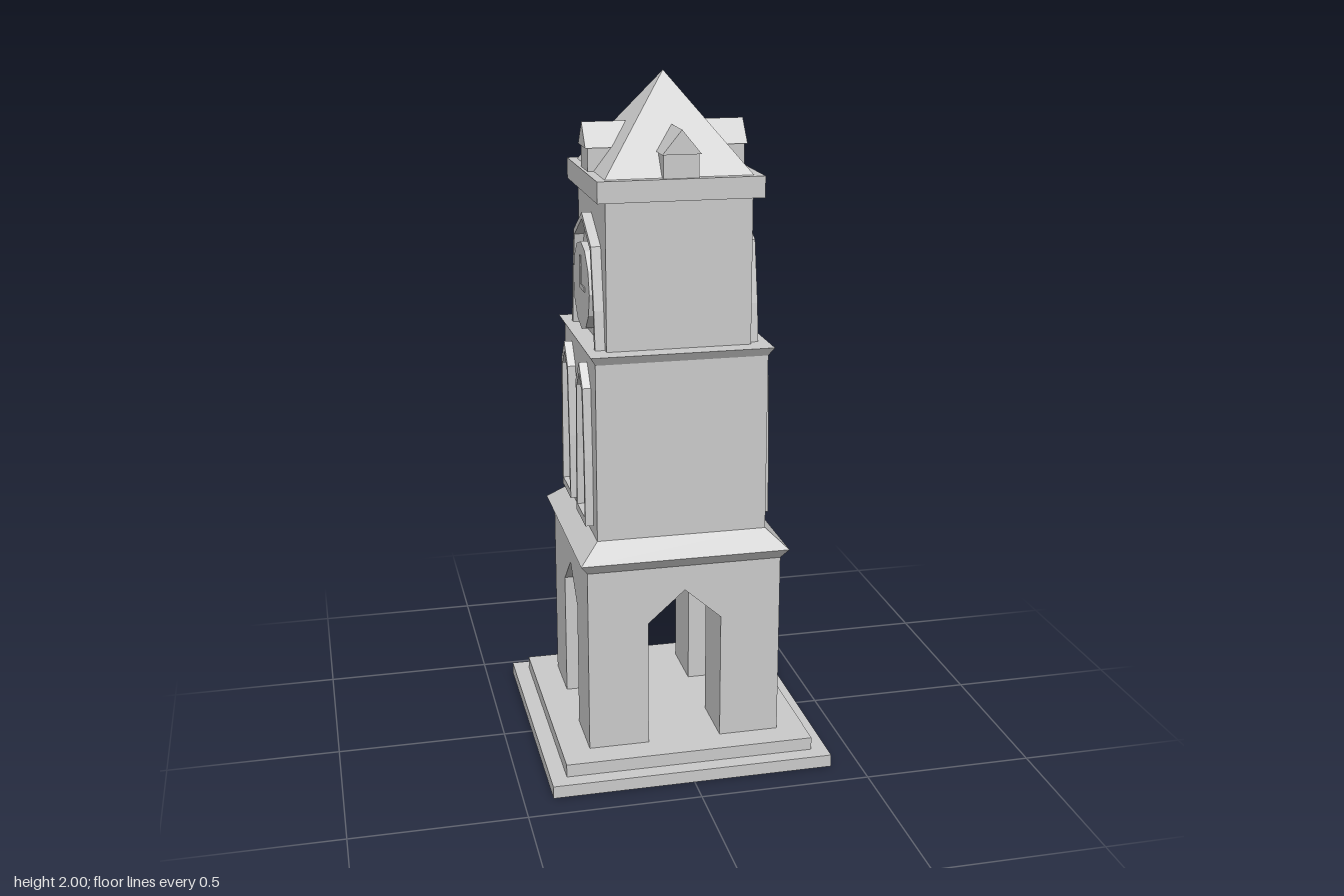
import * as THREE from 'three';

const mat = new THREE.MeshStandardMaterial({ color: 0xcccccc, flatShading: true });

function add(parent, name, geometry) {
  const mesh = new THREE.Mesh(geometry, mat);
  mesh.name = name;
  parent.add(mesh);
  return mesh;
}

// Square block, optionally tapered: half widths r0 (bottom) and r1 (top)
function block(parent, name, r0, r1, y0, y1) {
  const g = new THREE.CylinderGeometry(r1 * Math.SQRT2, r0 * Math.SQRT2, y1 - y0, 4);
  g.rotateY(Math.PI / 4);
  return add(parent, name, g.translate(0, (y0 + y1) / 2, 0));
}

const outline = (pts) => pts.map(([x, y]) => new THREE.Vector2(x, y));

// Flat shape pushed out along z from z0 to z1
function slab(parent, name, pts, z0, z1, hole) {
  const shape = new THREE.Shape(outline(pts));
  if (hole) shape.holes.push(new THREE.Path(outline(hole)));
  const g = new THREE.ExtrudeGeometry(shape, { depth: z1 - z0, bevelEnabled: false });
  return add(parent, name, g.translate(0, 0, z0));
}

function quads(list) {
  const pos = [];
  for (const [a, b, c, d] of list) pos.push(...a, ...b, ...c, ...a, ...c, ...d);
  const g = new THREE.BufferGeometry();
  g.setAttribute('position', new THREE.Float32BufferAttribute(pos, 3));
  g.computeVertexNormals();
  return g;
}

// One side of the arched base: wall, two jambs and its share of the groin vault
function archSide() {
  const side = new THREE.Group();
  const R = 0.285, w = 0.108, y0 = 0.075, spring = 0.455, apex = 0.55, top = 0.625;
  const wall = new THREE.ShapeGeometry(new THREE.Shape(outline([
    [-R, y0], [-w, y0], [-w, spring], [0, apex], [w, spring], [w, y0], [R, y0], [R, top], [-R, top],
  ])));
  add(side, 'archWall', wall.translate(0, 0, R));
  const faces = [];
  for (const s of [1, -1]) {
    const A = [0, apex, R], B = [s * w, spring, R], C = [s * w, spring, w], D = [0, apex, 0];
    const E = [s * w, y0, R], F = [s * w, y0, w];
    const pair = [[A, D, C, B], [E, B, C, F]];
    faces.push(...(s > 0 ? pair : pair.map((q) => q.reverse())));
  }
  add(side, 'passageLining', quads(faces));
  return side;
}

// Small gabled dormer facing +z
function dormer() {
  const g = new THREE.Group();
  slab(g, 'dormerBody', [[-0.05, 1.73], [0.05, 1.73], [0.05, 1.8], [0, 1.85], [-0.05, 1.8]], 0.09, 0.226);
  slab(g, 'dormerRoof', [[-0.055, 1.795], [0.055, 1.795], [0, 1.862]], 0.08, 0.233);
  return g;
}

// Clock and pair of pointed windows, facing +z
function decoratedSide() {
  const g = new THREE.Group();
  slab(g, 'clockSurround', [
    [0.185, 1.248], [0.172, 1.36], [0.137, 1.535], [0, 1.608], [-0.137, 1.535], [-0.172, 1.36], [-0.185, 1.248],
    [-0.168, 1.248], [-0.156, 1.36], [-0.123, 1.523], [0, 1.59], [0.123, 1.523], [0.156, 1.36], [0.168, 1.248],
  ].reverse(), 0.2, 0.236);

  const dial = new THREE.CylinderGeometry(0.128, 0.128, 0.04, 12);
  dial.rotateX(Math.PI / 2);
  add(g, 'clockDial', dial.translate(0, 1.397, 0.22));
  const hands = [[-0.007, 1.39], [0.06, 1.39], [0.06, 1.404], [0.007, 1.404], [0.007, 1.485], [-0.007, 1.485]];
  slab(g, 'clockHands', hands, 0.235, 0.243);

  for (const s of [-1, 1]) {
    const frame = slab(g, 'windowFrame',
      [[-0.072, 0.735], [0.072, 0.735], [0.068, 0.93], [0.053, 1.14], [0, 1.203], [-0.053, 1.14], [-0.068, 0.93]],
      0.24, 0.272,
      [[-0.058, 0.758], [0.058, 0.758], [0.054, 0.93], [0.039, 1.125], [0, 1.172], [-0.039, 1.125], [-0.054, 0.93]]);
    frame.position.x = s * 0.122;
  }
  return g;
}

export function createModel() {
  const tower = new THREE.Group();
  tower.name = 'clockTower';

  // Stepped plinth
  block(tower, 'lowerStep', 0.415, 0.415, 0, 0.037);
  block(tower, 'upperStep', 0.368, 0.368, 0.037, 0.075);

  // Storeys and cornices
  block(tower, 'lowerCorniceFlare', 0.285, 0.306, 0.625, 0.655);
  block(tower, 'lowerCorniceSlope', 0.306, 0.248, 0.655, 0.707);
  block(tower, 'middleStorey', 0.248, 0.248, 0.707, 1.225);
  block(tower, 'upperCornice', 0.248, 0.263, 1.225, 1.25);
  block(tower, 'clockStorey', 0.208, 0.208, 1.25, 1.67);
  block(tower, 'roofSlab', 0.235, 0.235, 1.67, 1.73);

  // Pyramid roof
  const roof = new THREE.ConeGeometry(0.209 * Math.SQRT2, 0.27, 4);
  roof.rotateY(Math.PI / 4);
  add(tower, 'roof', roof.translate(0, 1.865, 0));

  // Arches and dormers on all four sides
  for (let i = 0; i < 4; i++) {
    const arch = archSide(), window = dormer();
    arch.name = 'archSide';
    window.name = 'dormer';
    arch.rotation.y = window.rotation.y = (i * Math.PI) / 2;
    tower.add(arch, window);
  }

  // Clocks and windows on the left and right sides
  for (const s of [-1, 1]) {
    const side = decoratedSide();
    side.name = s > 0 ? 'leftFacade' : 'rightFacade';
    side.rotation.y = (s * Math.PI) / 2;
    tower.add(side);
  }
  return tower;
}
